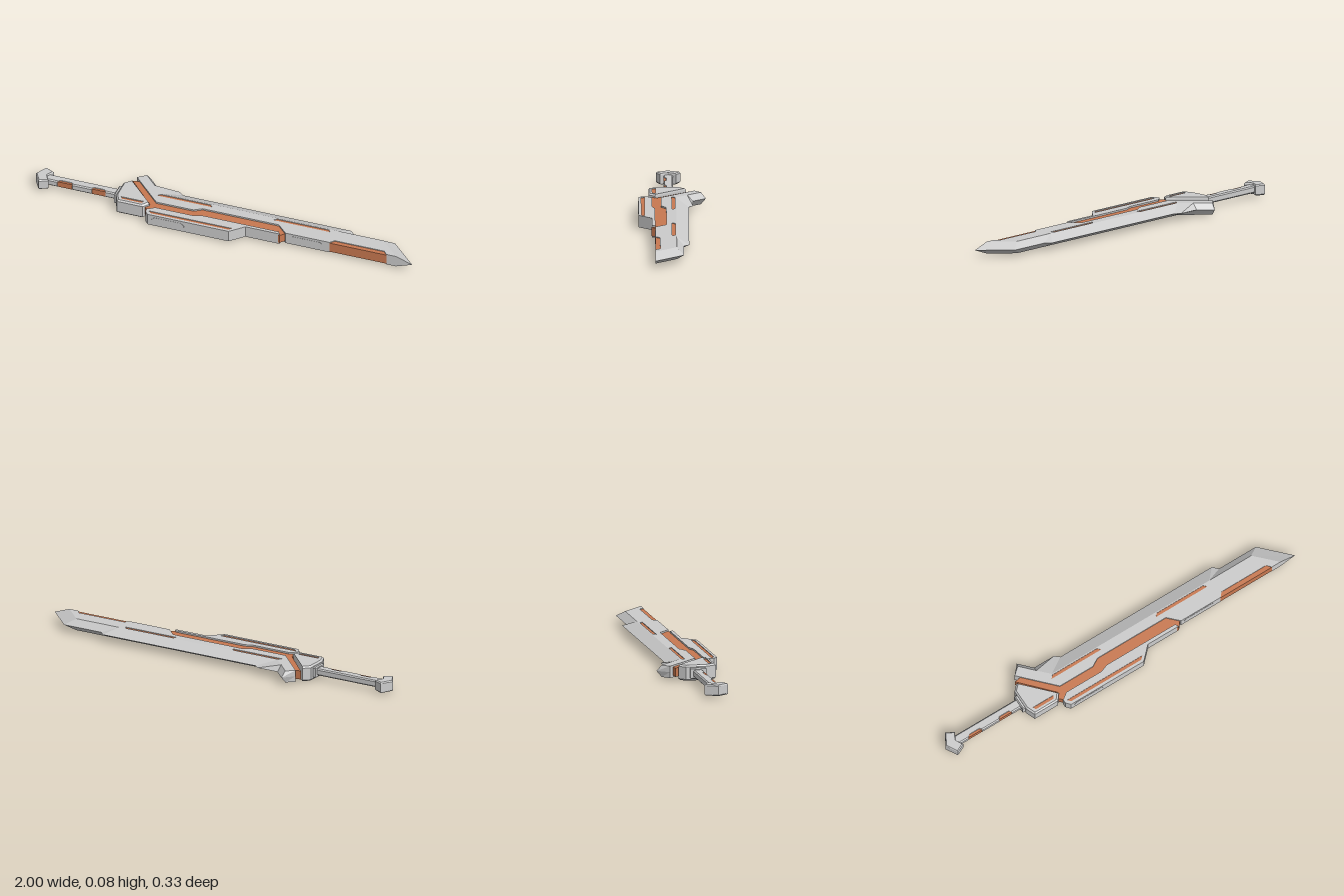
import * as THREE from 'three';

const grey = new THREE.MeshStandardMaterial({ color: 0xcccccc, flatShading: true });
const orange = new THREE.MeshStandardMaterial({ color: 0xc87850, flatShading: true });

// Lofts matching [x, z] outlines stacked as [y, outline] levels, with vertical holes.
function loft(name, levels, material = grey, holes = []) {
  const pos = [];
  const flat = (pts) => pts.map(([x, z]) => new THREE.Vector2(x, -z));
  const turned = (pts, ccw) =>
    THREE.ShapeUtils.isClockWise(flat(pts)) === ccw ? [...pts].reverse() : pts;
  const flip = THREE.ShapeUtils.isClockWise(flat(levels[levels.length - 1][1]));
  const rings = levels.map(([y, pts]) => [y, flip ? [...pts].reverse() : pts]);
  const cuts = holes.map((h) => turned(h, false));
  const put = (p, y) => pos.push(p[0], y, p[1]);
  const wall = (a, ya, b, yb) => a.forEach((p, i) => {
    const j = (i + 1) % a.length;
    put(p, ya); put(a[j], ya); put(b[j], yb);
    put(p, ya); put(b[j], yb); put(b[i], yb);
  });
  for (let k = 0; k + 1 < rings.length; k++)
    wall(rings[k][1], rings[k][0], rings[k + 1][1], rings[k + 1][0]);
  const cap = ([y, pts], up) => {
    const all = [pts, ...cuts].flat();
    for (const [a, b, c] of THREE.ShapeUtils.triangulateShape(flat(pts), cuts.map(flat)))
      (up ? [a, b, c] : [a, c, b]).forEach((i) => put(all[i], y));
  };
  cap(rings[0], false);
  cap(rings[rings.length - 1], true);
  cuts.forEach((h) => wall(h, rings[0][0], h, rings[rings.length - 1][0]));
  const geo = new THREE.BufferGeometry();
  geo.setAttribute('position', new THREE.Float32BufferAttribute(pos, 3));
  geo.computeVertexNormals();
  const mesh = new THREE.Mesh(geo, material);
  mesh.name = name;
  return mesh;
}

const slab = (name, pts, y0, y1, material, holes) =>
  loft(name, [[y0, pts], [y1, pts]], material, holes);

// Slab whose top and bottom rims are chamfered by c in height and width.
function chamfered(name, pts, y0, y1, c, holes) {
  const xs = pts.map((p) => p[0]), zs = pts.map((p) => p[1]);
  const mid = (v) => (Math.min(...v) + Math.max(...v)) / 2;
  const half = (v) => (Math.max(...v) - Math.min(...v)) / 2;
  const small = pts.map(([x, z]) => [
    mid(xs) + (x - mid(xs)) * (1 - c / half(xs)),
    mid(zs) + (z - mid(zs)) * (1 - c / half(zs))]);
  return loft(name, [[y0, small], [y0 + c, pts], [y1 - c, pts], [y1, small]], grey, holes);
}

// Strip with slanted ends.
const strip = (x0, x1, z0, z1, s = 0.015) =>
  [[x0, z0], [x1, z0], [x1 - s, z1], [x0 + s, z1]];

// Long eight-sided panel on a front wall.
function sidePanel(x0, x1, z) {
  const w = (x1 - x0) / 2, h = 0.018, c = 0.014;
  const s = new THREE.Shape([[-w, -h + c], [-w + c, -h], [w - c, -h], [w, -h + c],
    [w, h - c], [w - c, h], [-w + c, h], [-w, h - c]].map((p) => new THREE.Vector2(...p)));
  const m = new THREE.Mesh(new THREE.ExtrudeGeometry(s, { depth: 0.002, bevelEnabled: false }), grey);
  m.position.set((x0 + x1) / 2, 0.04, z);
  m.name = 'sidePanel';
  return m;
}

export function createModel() {
  const g = new THREE.Group();
  g.name = 'sword';

  // Blade: each row is edge x, z at mid height, then x, z of the flat face
  const rows = [
    [-0.355, 0.055], [-0.515, -0.11],
    [-0.467, -0.167, -0.475, -0.143], [-0.405, -0.103, -0.41, -0.075],
    [-0.29, -0.103, -0.355, -0.02], [-0.265, -0.082, -0.3, -0.02],
    [0.62, -0.082, 0.565, -0.02], [0.645, -0.056, 0.6, -0.02],
    [0.86, -0.056, 0.81, -0.02], [1, 0.085, 0.915, 0.085],
    [0.865, 0.085], [0.845, 0.062], [0.585, 0.062], [0.565, 0.085],
    [0.335, 0.085], [0.28, 0.03], [-0.12, 0.03], [-0.16, 0.055]];
  const edge = rows.map((r) => [r[0], r[1]]);
  const face = rows.map((r) => [r[2] ?? r[0], r[3] ?? r[1]]);
  const grooves = [strip(-0.37, -0.08, 0.002, -0.014), strip(0.24, 0.54, 0.002, -0.014)];
  g.add(loft('blade', [[0.01, face], [0.04, edge], [0.07, face]], grey, grooves));
  grooves.forEach((p) => g.add(slab('bladeGrooveInlay', p, 0.013, 0.067, orange)));
  g.add(slab('edgeInlay', strip(0.565, 0.865, 0.085, 0.062, 0.02), 0.014, 0.066, orange));

  // Core running between the blade, guard and front plate
  g.add(slab('core', [[-0.53, -0.085], [-0.495, -0.09], [-0.35, 0.055], [-0.16, 0.055],
    [-0.12, 0.03], [0.28, 0.03], [0.33, 0.08], [0.31, 0.105], [0.28, 0.095], [-0.1, 0.095],
    [-0.14, 0.105], [-0.34, 0.105], [-0.37, 0.13], [-0.4, 0.1], [-0.38, 0.075]],
  0.018, 0.062, orange));

  // Front plate
  const slot = strip(-0.365, 0.075, 0.137, 0.153);
  g.add(slab('frontPlate', [[-0.38, 0.125], [-0.345, 0.1], [-0.14, 0.1], [-0.1, 0.085],
    [0.3, 0.085], [0.31, 0.102], [0.13, 0.102], [0.065, 0.167], [-0.36, 0.167], [-0.38, 0.145]],
  0.01, 0.07, grey, [slot]));
  g.add(slab('frontPlateInlay', slot, 0.013, 0.067, orange));
  g.add(sidePanel(-0.34, -0.17, 0.166), sidePanel(0.35, 0.53, 0.084));

  // Guard
  const guardSlot = strip(-0.53, -0.41, 0.082, 0.098, 0.008);
  g.add(chamfered('guard', [[-0.56, -0.04], [-0.53, -0.07], [-0.38, 0.085], [-0.405, 0.117],
    [-0.54, 0.117], [-0.56, 0.07]], 0.001, 0.079, 0.008, [guardSlot]));
  g.add(slab('guardInlay', guardSlot, 0.005, 0.075, orange));
  g.add(chamfered('collar', [[-0.575, -0.02], [-0.55, -0.02], [-0.55, 0.06], [-0.575, 0.06]],
    0.012, 0.068, 0.005));

  // Handle with grip inserts in its front notches
  const grips = [[-0.88, -0.8], [-0.7, -0.625]];
  const front = grips.flatMap(([a, b]) => [[a, 0.042], [a + 0.01, 0.03], [b - 0.01, 0.03], [b, 0.042]]);
  g.add(chamfered('handle', [[-0.56, -0.006], [-0.95, -0.006], [-0.95, 0.042], ...front,
    [-0.56, 0.042]], 0.023, 0.058, 0.006));
  grips.forEach(([a, b]) => g.add(slab('gripInsert', strip(a, b, 0.04, 0.028, 0.01), 0.026, 0.055, orange)));

  // Pommel
  g.add(chamfered('pommel', [[-1, 0.02], [-0.965, -0.042], [-0.92, -0.02], [-0.942, 0.018],
    [-0.92, 0.058], [-0.965, 0.078]], 0.012, 0.068, 0.006));
  return g;
}
